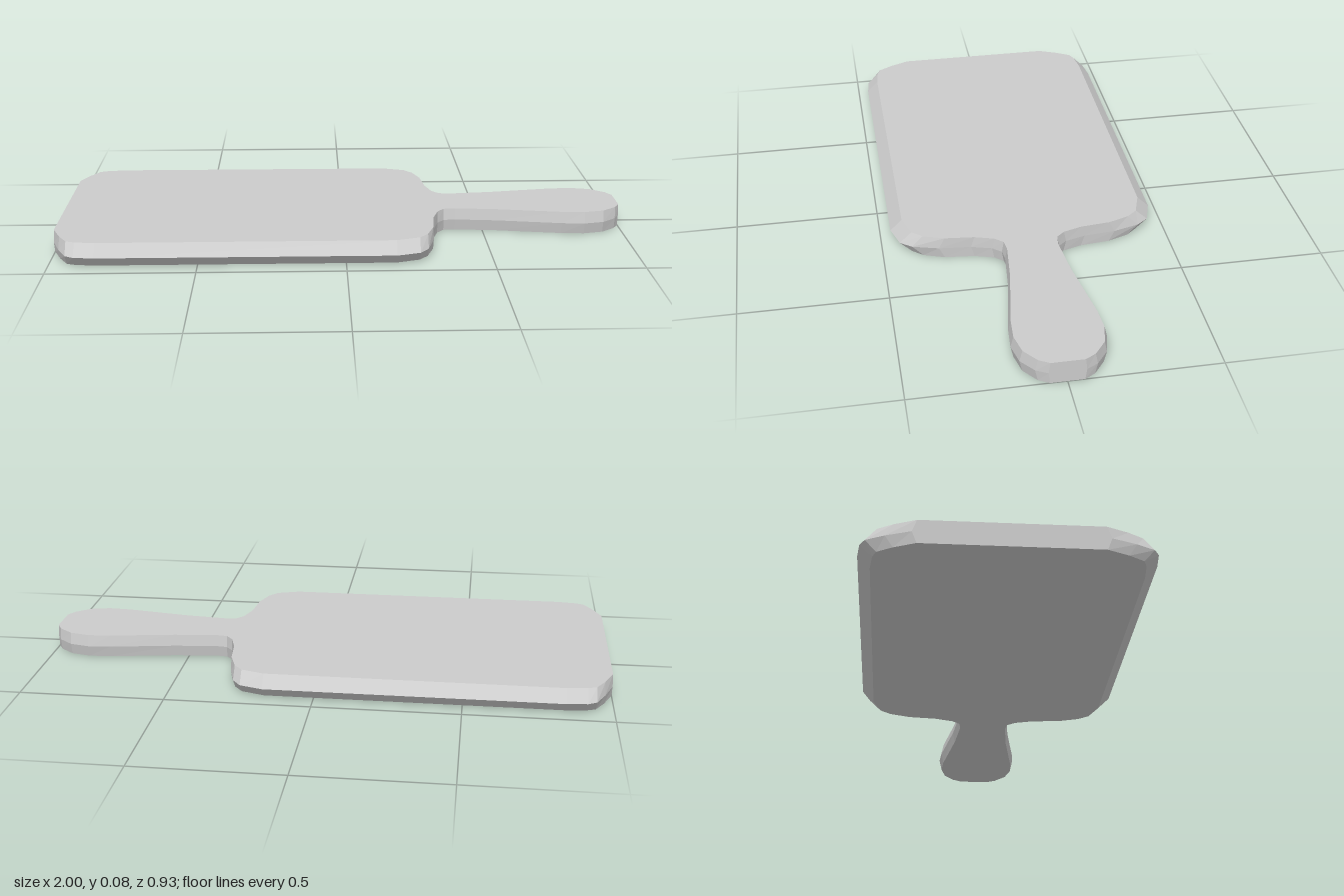
import * as THREE from 'three';

const HEIGHT = 0.08;

// Half outline from blade end to handle tip: x, half width at mid height, half width at the faces
const PROFILE = [
  [-1, 0.3, 0.285], [-0.97, 0.38, 0.355], [-0.94, 0.44, 0.405], [-0.91, 0.457, 0.417], [-0.84, 0.465, 0.425],
  [0.17, 0.465, 0.424], [0.25, 0.44, 0.398], [0.28, 0.4, 0.362], [0.305, 0.31, 0.29], [0.315, 0.2, 0.188],
  [0.335, 0.13, 0.122], [0.36, 0.1, 0.093], [0.4, 0.095, 0.088], [0.55, 0.11, 0.103], [0.78, 0.148, 0.14],
  [0.86, 0.154, 0.145], [0.93, 0.138, 0.129], [0.98, 0.098, 0.09], [1, 0.06, 0.055],
];

// Full closed outline, mirrored front to back
function outline(column) {
  const front = PROFILE.map((p) => [p[0], p[column]]);
  const back = front.map(([x, z]) => [x, -z]).reverse();
  return [...front, ...back];
}

function boardGeometry() {
  const face = outline(2);
  const mid = outline(1);
  const n = face.length;
  const rings = [[face, 0], [mid, HEIGHT / 2], [face, HEIGHT]];
  const positions = rings.flatMap(([ring, y]) => ring.flatMap(([x, z]) => [x, y, z]));
  const index = [];

  // Bevelled rim between the three rings
  for (let r = 0; r < 2; r++) {
    for (let i = 0; i < n; i++) {
      const a = r * n + i;
      const b = r * n + ((i + 1) % n);
      index.push(a, b, b + n, a, b + n, a + n);
    }
  }

  // Flat top and underside
  const contour = face.map(([x, z]) => new THREE.Vector2(x, -z));
  for (const [a, b, c] of THREE.ShapeUtils.triangulateShape(contour, [])) {
    index.push(a + 2 * n, b + 2 * n, c + 2 * n);
    index.push(c, b, a);
  }

  const geometry = new THREE.BufferGeometry();
  geometry.setAttribute('position', new THREE.Float32BufferAttribute(positions, 3));
  geometry.setIndex(index);
  const flat = geometry.toNonIndexed();
  flat.computeVertexNormals();
  return flat;
}

export function createModel() {
  const group = new THREE.Group();
  group.name = 'cuttingBoard';
  const material = new THREE.MeshStandardMaterial({ color: 0xcccccc, flatShading: true });
  const board = new THREE.Mesh(boardGeometry(), material);
  board.name = 'boardWithHandle';
  group.add(board);
  return group;
}
